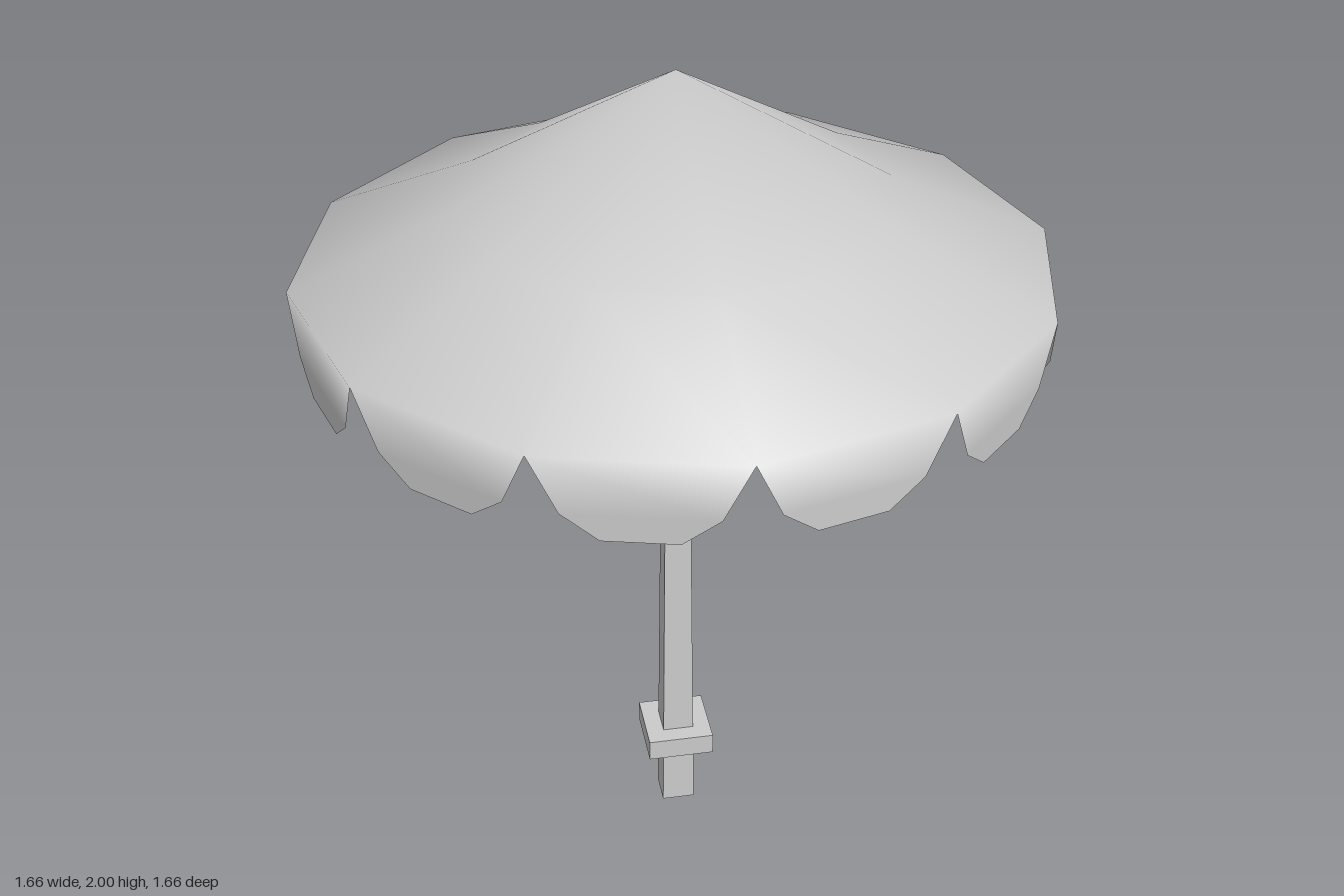
import * as THREE from 'three';

const SIDES = 12;

// Twelve-sided cloth roof with one scalloped flap hanging from each rim edge
function canopyGeometry() {
  const pos = [0, 2, 0];
  const index = [];
  const rings = [[0.487, 1.715], [0.857, 1.55]];
  for (const [r, y] of rings) {
    for (let i = 0; i < SIDES; i++) {
      const a = ((i + 0.5) / SIDES) * Math.PI * 2;
      pos.push(r * Math.sin(a), y, r * Math.cos(a));
    }
  }
  const point = (k) => new THREE.Vector3().fromArray(pos, k * 3);

  for (let i = 0; i < SIDES; i++) {
    const j = (i + 1) % SIDES;
    const a = 1 + i, b = 1 + j, c = a + SIDES, d = b + SIDES;
    // Roof panel
    index.push(0, a, b, a, c, d, a, d, b);
    // Flap: fractions along the rim edge and heights
    const first = pos.length / 3;
    for (const [t, y] of [[0.14, 1.42], [0.32, 1.36], [0.68, 1.36], [0.86, 1.42]]) {
      const p = point(c).lerp(point(d), t);
      pos.push(p.x, y, p.z);
    }
    index.push(c, first, first + 3, c, first + 3, d);
    index.push(first, first + 1, first + 2, first, first + 2, first + 3);
  }
  const g = new THREE.BufferGeometry();
  g.setAttribute('position', new THREE.Float32BufferAttribute(pos, 3));
  g.setIndex(index);
  g.computeVertexNormals();
  return g;
}

export function createModel() {
  const group = new THREE.Group();
  group.name = 'parasol';
  const cloth = new THREE.MeshStandardMaterial({ color: 0xcccccc, side: THREE.DoubleSide });
  const wood = new THREE.MeshStandardMaterial({ color: 0xcccccc, flatShading: true });

  const canopy = new THREE.Mesh(canopyGeometry(), cloth);
  canopy.name = 'canopy';
  group.add(canopy);

  // Four-sided posts, corners on the axes
  const post = (name, top, bottom, y0, y1) => {
    const m = new THREE.Mesh(new THREE.CylinderGeometry(top, bottom, y1 - y0, 4), wood);
    m.name = name;
    m.position.y = (y0 + y1) / 2;
    group.add(m);
  };
  post('pole', 0.03, 0.057, 0, 1.94);
  post('collar', 0.115, 0.115, 0.175, 0.23);
  return group;
}
